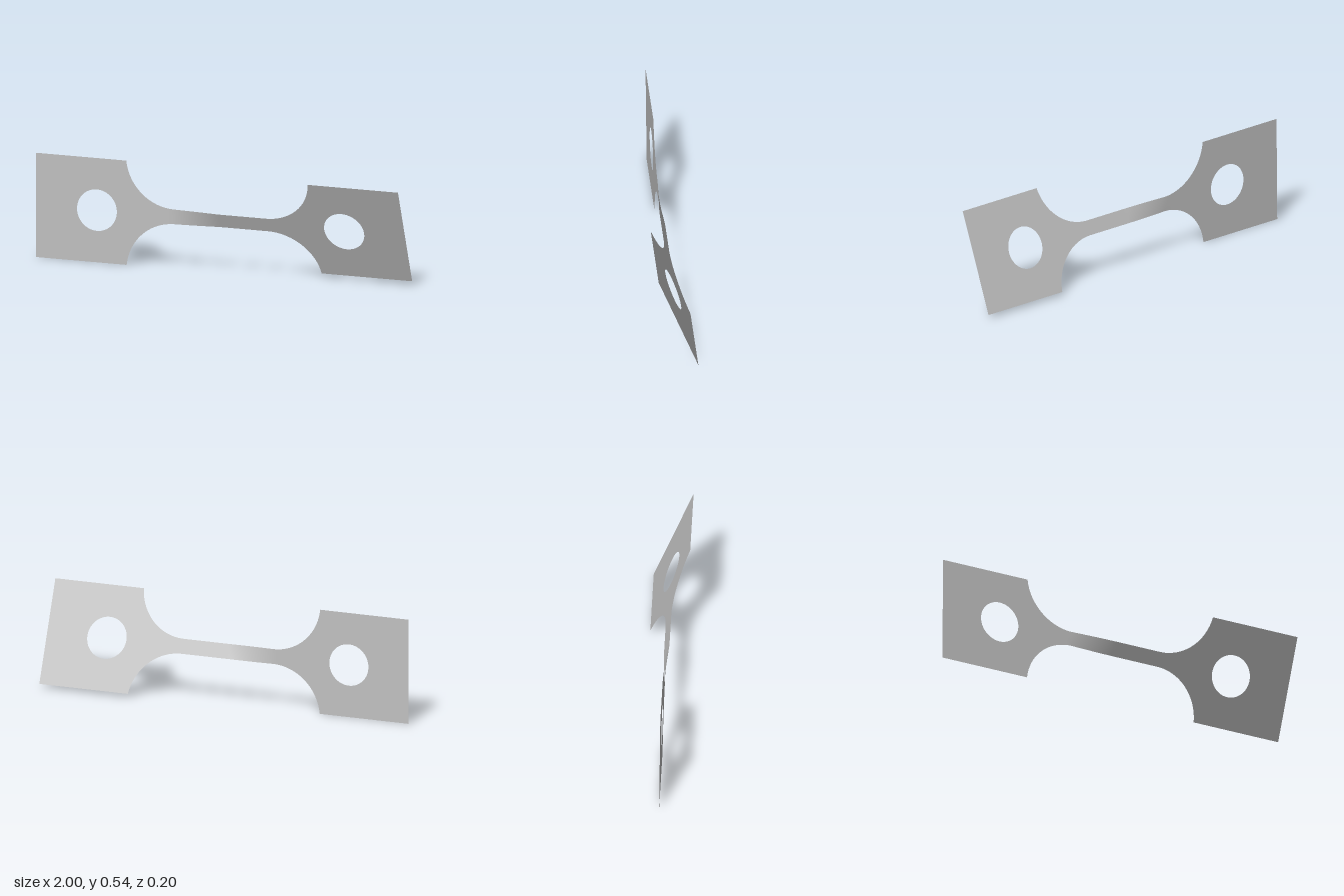
import * as THREE from 'three';

const MID_Y = 0.272, HALF = 0.272, NECK = 0.0385, PLATE_X = 0.51, FILLET_X = 0.25;
const HOLE_X = 0.67, HOLE_R = 0.108;

// Twist about the long axis: nearly upright at one end, leaning at the other
function twist(x) {
  const t = THREE.MathUtils.clamp((x + 0.27) / 0.26, 0, 1);
  return THREE.MathUtils.degToRad(THREE.MathUtils.lerp(0.6, 21.8, t));
}

// Turn a flat sheet in the xy plane into the twisted sheet
function applyTwist(geometry) {
  const p = geometry.attributes.position;
  for (let i = 0; i < p.count; i++) {
    const x = p.getX(i), v = p.getY(i), a = twist(x);
    p.setXYZ(i, x, MID_Y + v * Math.cos(a), v * Math.sin(a));
  }
  geometry.computeVertexNormals();
  return geometry;
}

// Square end plate with a round hole
function plateGeometry(side) {
  const x0 = side < 0 ? -1 : PLATE_X, x1 = side < 0 ? -PLATE_X : 1;
  const shape = new THREE.Shape([
    new THREE.Vector2(x0, -HALF), new THREE.Vector2(x1, -HALF),
    new THREE.Vector2(x1, HALF), new THREE.Vector2(x0, HALF),
  ]);
  const hole = new THREE.Path();
  hole.absarc(side * HOLE_X, 0, HOLE_R, 0, Math.PI * 2, true);
  shape.holes.push(hole);
  return applyTwist(new THREE.ShapeGeometry(shape, 32));
}

// Narrow neck with a circular fillet at each end
function neckGeometry() {
  const dx = PLATE_X - FILLET_X, dy = HALF - NECK;
  const r = (dx * dx + dy * dy) / (2 * dy);
  const end = Math.atan2(dx, r - dy);
  const fillet = [];
  for (let i = 0; i <= 24; i++) {
    const a = end * (1 - i / 24);
    fillet.push([FILLET_X + r * Math.sin(a), NECK + r * (1 - Math.cos(a))]);
  }
  const columns = fillet.map(([x, h]) => [-x, h]);
  for (let i = 1; i < 40; i++) columns.push([-FILLET_X + (2 * FILLET_X * i) / 40, NECK]);
  columns.push(...fillet.reverse());

  const rows = 12;
  const geometry = new THREE.PlaneGeometry(1, 1, columns.length - 1, rows);
  const p = geometry.attributes.position;
  for (let i = 0; i < p.count; i++) {
    const [x, h] = columns[i % columns.length];
    const row = Math.floor(i / columns.length);
    p.setXY(i, x, h * (1 - (2 * row) / rows));
  }
  return applyTwist(geometry);
}

export function createModel() {
  const group = new THREE.Group();
  group.name = 'twistedSheetSpecimen';
  const metal = new THREE.MeshStandardMaterial({ color: 0xc0c0c0, side: THREE.DoubleSide });
  metal.name = 'plain grey';

  const add = (name, geometry) => {
    const mesh = new THREE.Mesh(geometry, metal);
    mesh.name = name;
    group.add(mesh);
  };
  add('rightEndPlate', plateGeometry(-1));
  add('neck', neckGeometry());
  add('leftEndPlate', plateGeometry(1));
  return group;
}
